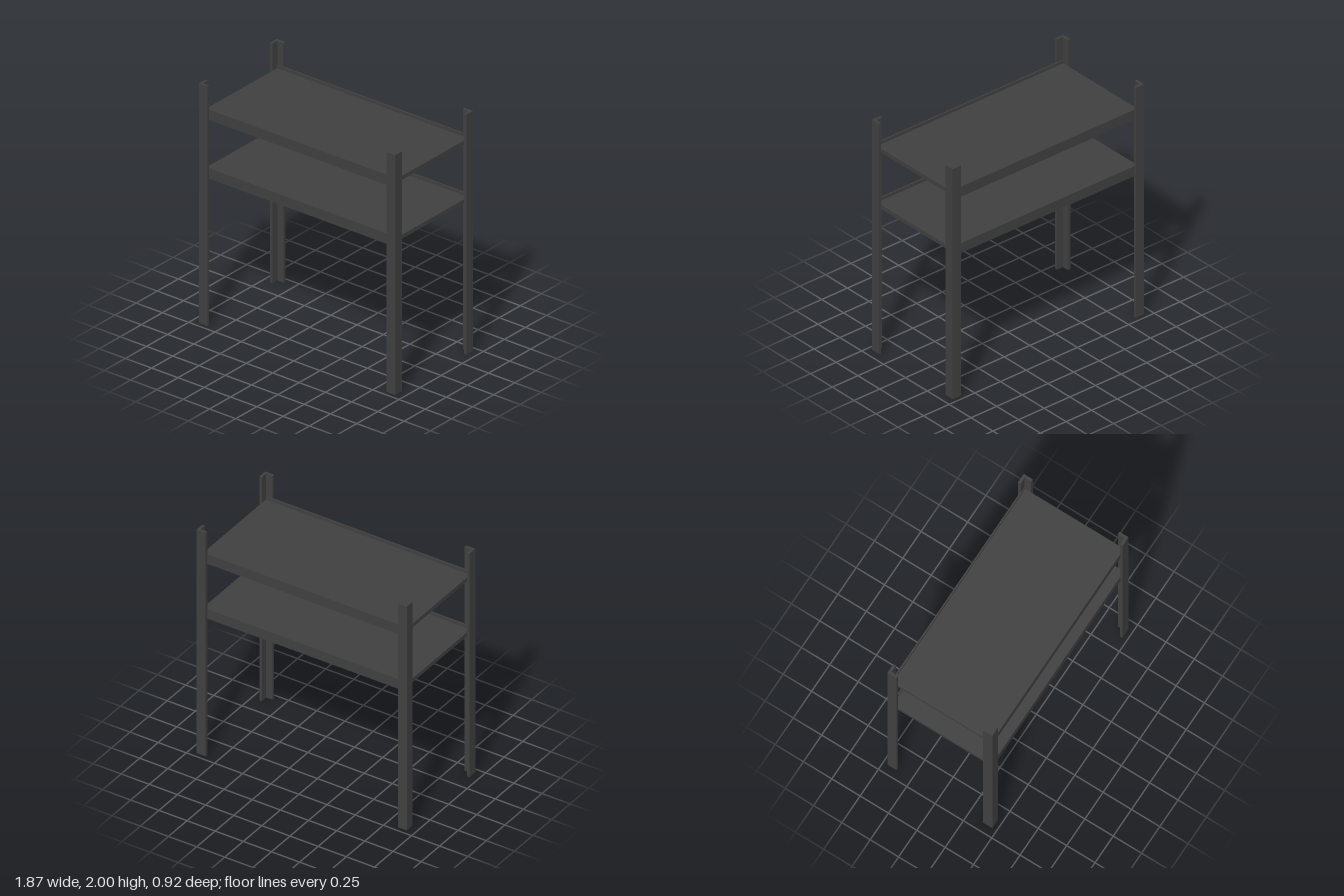
import * as THREE from 'three';

export function createModel() {
  const model = new THREE.Group();
  model.name = 'shelfRack';
  const steel = new THREE.MeshStandardMaterial({ color: 0x404040 });
  steel.name = 'dark grey steel';

  const X = 0.933, Z = 0.462; // outer faces of the legs
  const WIDTH = 0.08, THICK = 0.022; // angle profile

  // L-shaped angle profile, corner at the origin, flanges towards +x and +y
  const profile = new THREE.Shape([
    [0, 0], [WIDTH, 0], [WIDTH, THICK], [THICK, THICK], [THICK, WIDTH], [0, WIDTH],
  ].map(([x, y]) => new THREE.Vector2(x, y)));
  const legGeometry = new THREE.ExtrudeGeometry(profile, { depth: 2, bevelEnabled: false });
  legGeometry.rotateX(-Math.PI / 2);

  // Four corner legs, each turned so its flanges point inwards
  const corners = [
    ['frontRightLeg', -X, Z, 0],
    ['frontLeftLeg', X, Z, Math.PI / 2],
    ['backLeftLeg', X, -Z, Math.PI],
    ['backRightLeg', -X, -Z, -Math.PI / 2],
  ];
  for (const [name, x, z, turn] of corners) {
    const leg = new THREE.Mesh(legGeometry, steel);
    leg.name = name;
    leg.position.set(x, 0, z);
    leg.rotation.y = turn;
    model.add(leg);
  }

  function addBox(parent, name, w, h, d, y, z) {
    const mesh = new THREE.Mesh(new THREE.BoxGeometry(w, h, d), steel);
    mesh.name = name;
    mesh.position.set(0, y, z);
    parent.add(mesh);
  }

  // Two shelves, each a panel held between a front and a back beam
  for (const [name, y] of [['lowerShelf', 1.268], ['upperShelf', 1.758]]) {
    const shelf = new THREE.Group();
    shelf.name = name;
    addBox(shelf, 'panel', 1.816, 0.034, 0.87, y, 0);
    addBox(shelf, 'frontBeam', 1.816, 0.086, 0.012, y, 0.439);
    addBox(shelf, 'backBeam', 1.816, 0.086, 0.012, y, -0.439);
    model.add(shelf);
  }
  return model;
}
